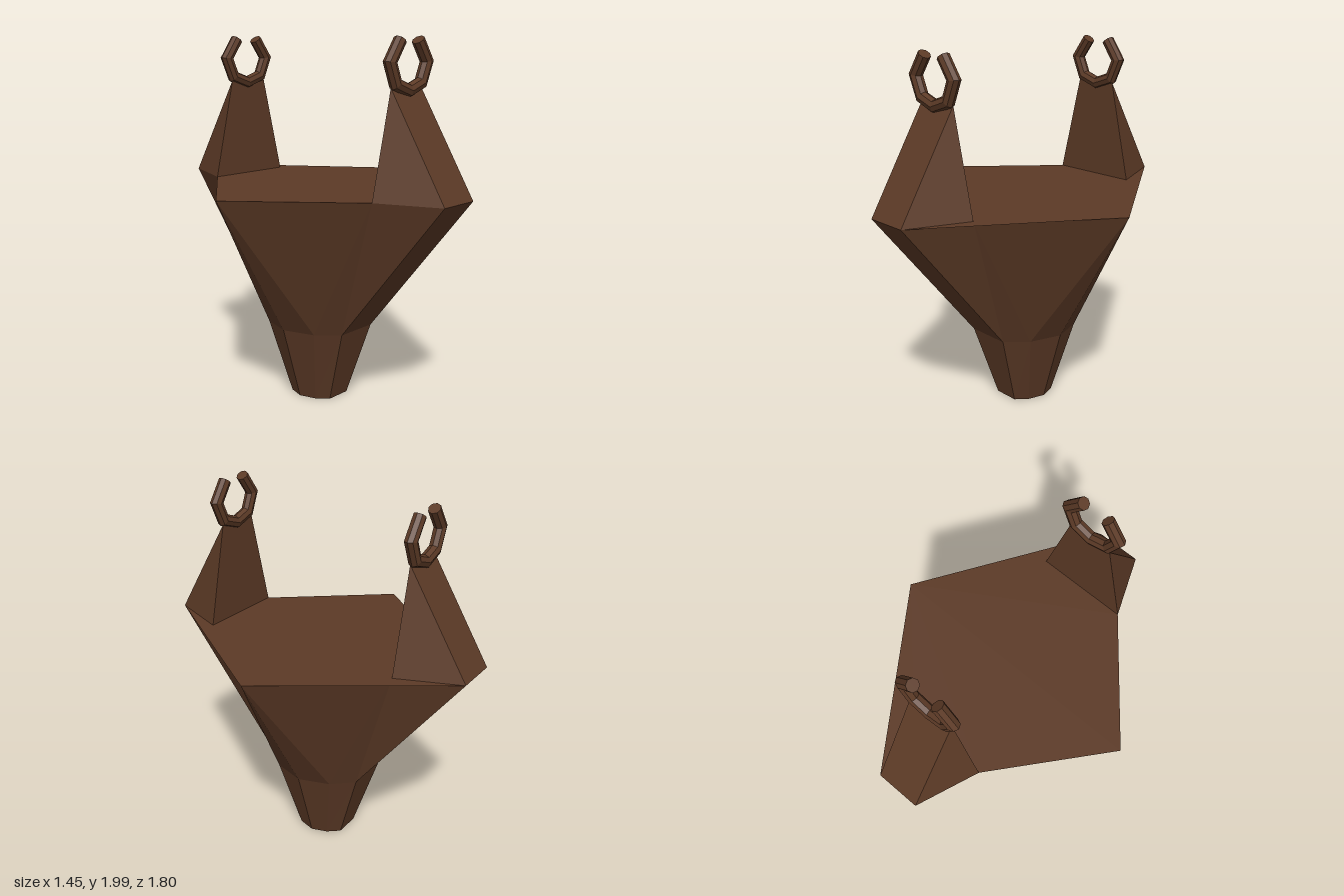
import * as THREE from 'three';

// Skin closed rings of [x, y, z] points; rings wind from +x to +z as they climb.
// flip(i) picks the other diagonal for column i.
function loft(rings, flip = () => false) {
  const pos = [];
  const tri = (...pts) => pts.forEach((p) => pos.push(...p));
  const n = rings[0].length;
  for (let r = 0; r < rings.length - 1; r++) {
    for (let i = 0; i < n; i++) {
      const j = (i + 1) % n;
      const a = rings[r][i], b = rings[r][j];
      const A = rings[r + 1][i], B = rings[r + 1][j];
      if (flip(i)) { tri(a, A, B); tri(a, B, b); } else { tri(a, A, b); tri(b, A, B); }
    }
  }
  // end caps
  const first = rings[0], last = rings[rings.length - 1];
  for (let i = 1; i < n - 1; i++) {
    tri(first[0], first[i], first[i + 1]);
    tri(last[0], last[i + 1], last[i]);
  }
  return fromTriangles(pos);
}

function fromTriangles(pos) {
  const g = new THREE.BufferGeometry();
  g.setAttribute('position', new THREE.Float32BufferAttribute(pos, 3));
  g.computeVertexNormals();
  return g;
}

// Ten-sided ring mirrored from one quadrant: side, corner and end points as [x, z]
function decagon(y, side, corner, end, zc) {
  const [cx, cz] = corner, [ex, ez] = end;
  return [
    [side, -0.018], [cx, zc + cz], [ex, zc + ez], [-ex, zc + ez], [-cx, zc + cz],
    [-side, -0.018], [-cx, zc - cz], [-ex, zc - ez], [ex, zc - ez], [cx, zc - cz],
  ].map(([x, z]) => [x, y, z]);
}

// Tapered horn standing on the front rim
function hornGeometry() {
  const L = [-0.25, 1.2, 0.57], R = [0.25, 1.2, 0.57];
  const l = [-0.12, 1.2, 0.9], r = [0.12, 1.2, 0.9];
  const tl = [-0.12, 1.74, 0.57], tr = [0.12, 1.74, 0.57];
  return fromTriangles([
    l, r, tr, l, tr, tl, // sloping outer face
    r, R, tr, L, l, tl, // sides
    R, L, tl, R, tl, tr, // upright inner face
    L, R, r, L, r, l, // underside
  ].flat());
}

// Open ring of straight, mitred bars
function hookGeometry(z) {
  const half = [[0.1, 1.758], [0.146, 1.862], [0.071, 1.966]];
  const path = [
    ...half.map(([x, y]) => [-x, y]).reverse(), [0, 1.724], ...half,
  ].map(([x, y]) => new THREE.Vector2(x, y));
  const radius = 0.033, sides = 8;
  const rings = path.map((p, i) => {
    const d0 = p.clone().sub(path[Math.max(i - 1, 0)]).normalize();
    const d1 = path[Math.min(i + 1, path.length - 1)].clone().sub(p).normalize();
    const t = d0.clone().add(d1).normalize();
    const stretch = 1 / Math.max(t.dot(i > 0 ? d0 : d1), 0.5);
    return Array.from({ length: sides }, (_, k) => {
      const a = (k / sides) * Math.PI * 2;
      const s = Math.cos(a) * radius * stretch;
      return [p.x + t.y * s, p.y - t.x * s, z + Math.sin(a) * radius];
    });
  });
  return loft(rings);
}

export function createModel() {
  const model = new THREE.Group();
  const brown = new THREE.MeshStandardMaterial({ color: 0x5c3a26, flatShading: true });
  brown.name = 'brown';
  const add = (name, geometry, parent = model) => {
    const mesh = new THREE.Mesh(geometry, brown);
    mesh.name = name;
    parent.add(mesh);
    return mesh;
  };

  // Flared body: narrow stem, then a wide pointed rim
  const foot = decagon(0, 0.15, [0.122, 0.09], [0.07, 0.152], -0.015);
  const neck = decagon(0.42, 0.275, [0.22, 0.172], [0.12, 0.283], -0.015);
  const rim = decagon(1.2, 0.725, [0.25, 0.57], [0.12, 0.9], 0);
  add('stem', loft([foot, neck]));
  add('body', loft([neck, rim], (i) => [3, 4, 8, 9].includes(i)));

  // Front and back horns, each carrying an open hook
  for (const [name, turn] of [['front', 0], ['back', Math.PI]]) {
    const side = new THREE.Group();
    side.name = name + 'Support';
    side.rotation.y = turn;
    add(name + 'Horn', hornGeometry(), side);
    add(name + 'Hook', hookGeometry(0.583), side);
    model.add(side);
  }
  return model;
}
